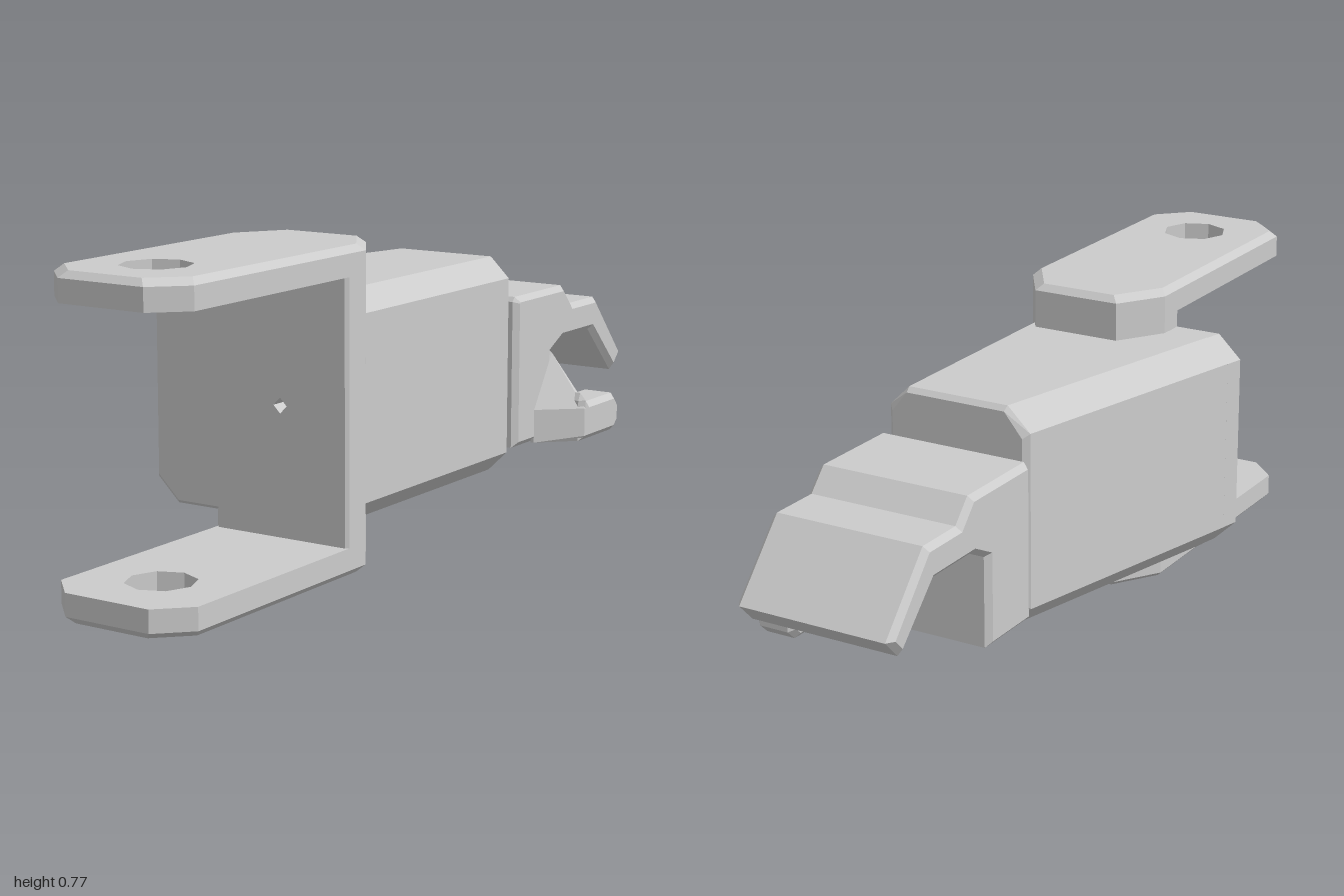
import * as THREE from 'three';
import { ConvexGeometry } from 'three/addons/geometries/ConvexGeometry.js';

const grey = new THREE.MeshStandardMaterial({ color: 0xcccccc, flatShading: true });
const CX = 0.04, CY = 0.3875; // middle of the fork

function mesh(name, geometry) {
  const m = new THREE.Mesh(geometry, grey);
  m.name = name;
  return m;
}

const toShape = (pts) => new THREE.Shape(pts.map(([x, y]) => new THREE.Vector2(x, y)));

// Slab with a regular hole, chamfered only around the outer rim of its far face
function chamferedSlab(pts, hole, depth, chamfer, centre) {
  const shape = toShape(pts);
  const ring = [];
  for (let i = 0; i < hole.sides; i++) {
    const a = -i / hole.sides * Math.PI * 2;
    ring.push(new THREE.Vector2(hole.x + hole.r * Math.cos(a), hole.y + hole.r * Math.sin(a)));
  }
  shape.holes.push(new THREE.Path(ring));
  const geo = new THREE.ExtrudeGeometry(shape, { depth, steps: 2, bevelEnabled: false });
  const p = geo.attributes.position;
  for (let i = 0; i < p.count; i++) {
    const x = p.getX(i), y = p.getY(i), z = p.getZ(i);
    if (Math.abs(z - depth / 2) < 1e-4) p.setZ(i, depth - chamfer);
    const onHole = Math.hypot(x - hole.x, y - hole.y) < hole.r + 0.001;
    if (z > depth - 1e-4 && !onHole) {
      p.setXY(i, x - Math.sign(x - centre[0]) * chamfer, y - Math.sign(y - centre[1]) * chamfer);
    }
  }
  geo.computeVertexNormals();
  return geo;
}

// Side profile given as [z, y], extruded across x with chamfered rims
function sideProfile(pts, x0, x1, b) {
  const geo = new THREE.ExtrudeGeometry(toShape(pts), {
    depth: x1 - x0 - 2 * b, bevelThickness: b, bevelSize: b, bevelOffset: -b, bevelSegments: 1,
  });
  return geo.rotateY(-Math.PI / 2).translate(x1 - b, 0, 0);
}

const hull = (pts) => new ConvexGeometry(pts.map((p) => new THREE.Vector3(...p)));

export function createModel() {
  const model = new THREE.Group();

  // Fork arms: outline in x and -z, relative to the fork middle
  const armOutline = [[-0.12, -1], [0.115, -1], [0.19, -0.925], [0.19, -0.28],
    [0.115, -0.165], [-0.115, -0.165], [-0.19, -0.28], [-0.19, -0.925]];
  armOutline[0][0] = -0.115;
  for (const top of [true, false]) {
    const geo = chamferedSlab(armOutline, { x: 0, y: -0.81, r: 0.083, sides: 8 }, 0.07, 0.016, [0, -0.58]);
    geo.rotateX(-Math.PI / 2).translate(0, CY - 0.07, 0);
    const arm = mesh(top ? 'upperForkArm' : 'lowerForkArm', geo);
    arm.position.set(CX, CY, 0);
    if (!top) arm.rotation.z = Math.PI;
    model.add(arm);
  }

  // Upright web that joins the arms
  const web = [];
  for (const y of [0.05, 0.725]) {
    for (const s of [-1, 1]) {
      web.push([CX + s * 0.115, y, 0.165], [CX + s * 0.19, y, 0.28], [CX + s * 0.19, y, 0.31]);
    }
  }
  model.add(mesh('forkWeb', hull(web)));

  // Front face of web and body, with its small square pin hole
  const face = [[0.23, 0.05], [0.23, 0.725], [-0.15, 0.725], [-0.15, 0.663], [-0.27, 0.663],
    [-0.33, 0.605], [-0.33, 0.17], [-0.27, 0.112], [-0.15, 0.112], [-0.15, 0.05]];
  const faceGeo = chamferedSlab(face, { x: CX, y: CY, r: 0.019, sides: 4 }, 0.055, 0.008, [0, CY]);
  const fp = faceGeo.attributes.position;
  for (let i = 0; i < fp.count; i++) {
    if (fp.getX(i) < -0.2) fp.setX(i, fp.getX(i) + (0.055 - fp.getZ(i)) * 0.24);
  }
  faceGeo.computeVertexNormals();
  model.add(mesh('frontFace', faceGeo.translate(0, 0, 0.3)));

  // Body: chamfered section tapering toward the back, with a chamfered back rim
  const body = [];
  for (const [z, left, inset] of [[0.301, -0.317, 0], [-0.378, -0.153, 0], [-0.39, -0.15, 0.012]]) {
    for (const s of [-1, 1]) {
      const y = (h) => CY + s * (h - inset);
      body.push([left + 0.06, y(0.2765), z], [left + inset, y(0.218), z],
        [0.175, y(0.2765), z], [0.228 - inset, y(0.225), z]);
    }
  }
  model.add(mesh('body', hull(body)));

  // Rear hook block
  const hook = [[-0.42, 0.165], [-0.42, 0.545], [-0.43, 0.557], [-0.67, 0.557], [-0.72, 0.503],
    [-0.85, 0.503], [-1, 0.335], [-0.955, 0.288], [-0.825, 0.418], [-0.665, 0.418],
    [-0.605, 0.388], [-0.605, 0.165]];
  model.add(mesh('hook', sideProfile(hook.reverse(), -0.18, 0.23, 0.014)));

  // Side finger and the sloped rib that carries it
  const finger = [[-0.56, 0.163], [-0.775, 0.163], [-0.8, 0.187], [-0.8, 0.235], [-0.775, 0.263],
    [-0.635, 0.263], [-0.605, 0.29], [-0.595, 0.27]];
  finger[0][0] = -0.595;
  model.add(mesh('finger', sideProfile(finger, 0.225, 0.33, 0.014)));
  model.add(mesh('fingerRib', hull([
    [0.22, 0.163, -0.515], [0.22, 0.25, -0.515], [0.22, 0.395, -0.605], [0.22, 0.163, -0.62],
    [0.23, 0.163, -0.515], [0.23, 0.25, -0.515], [0.23, 0.388, -0.605],
    [0.315, 0.163, -0.6], [0.33, 0.177, -0.605], [0.33, 0.25, -0.605],
    [0.315, 0.163, -0.62], [0.33, 0.177, -0.62], [0.33, 0.25, -0.62], [0.22, 0.28, -0.62],
  ])));

  return model;
}
